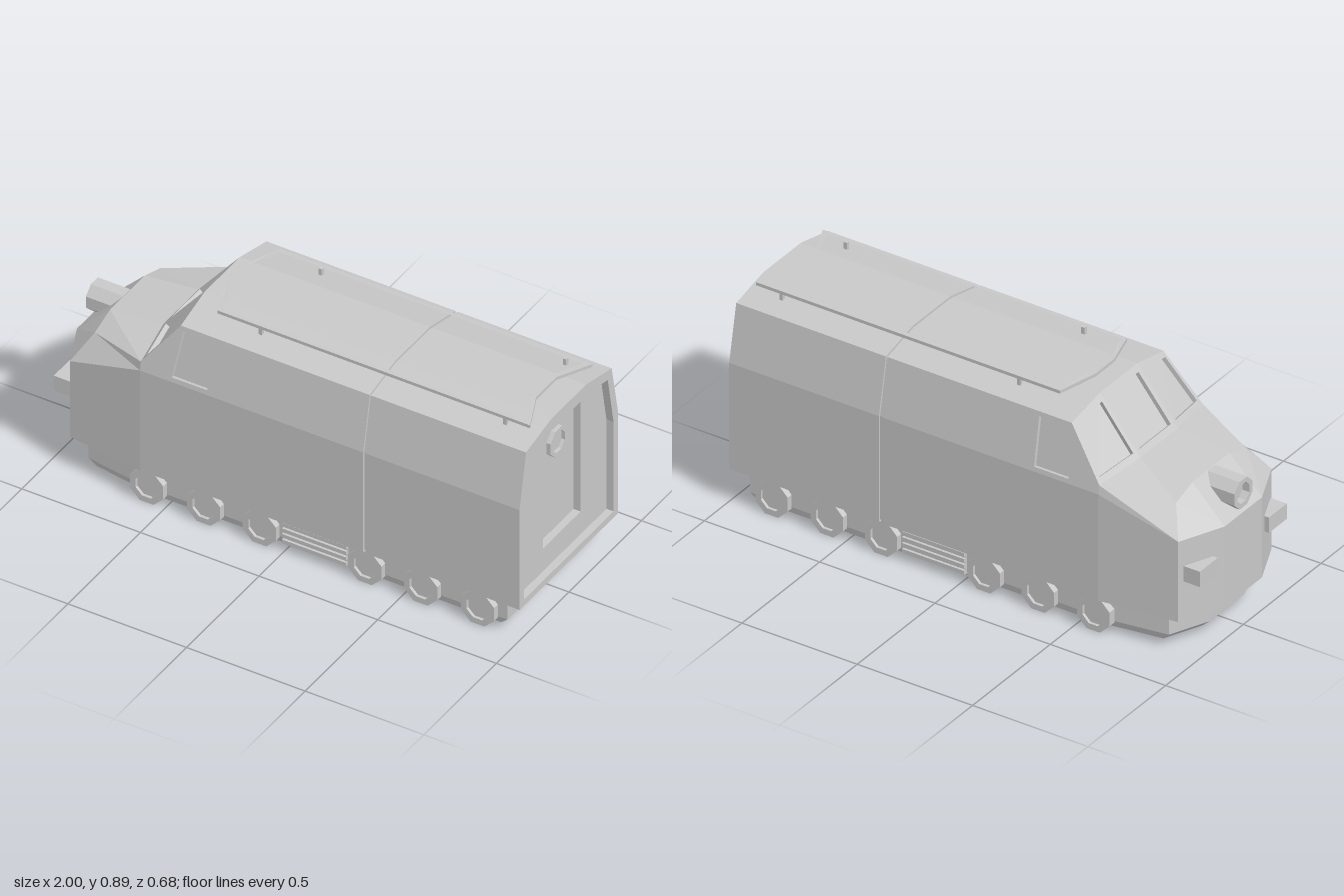
import * as THREE from 'three';

const grey = new THREE.MeshStandardMaterial({ color: 0xc8c8c8 });
grey.name = 'bodyGrey';

// Adds a flat-faceted mesh to a parent
function add(parent, name, geometry, x = 0, y = 0, z = 0) {
  const g = geometry.index ? geometry.toNonIndexed() : geometry;
  g.computeVertexNormals();
  const mesh = new THREE.Mesh(g, grey);
  mesh.name = name;
  mesh.position.set(x, y, z);
  parent.add(mesh);
  return mesh;
}

const V = (x, y, z) => new THREE.Vector3(x, y, z);

// Skins a run of convex rings, caps both ends; windows maps "ring,side" to a recess depth
function loft(rings, windows = {}) {
  const out = [];
  const tri = (a, b, c) => {
    const area = b.clone().sub(a).cross(c.clone().sub(a)).length();
    if (area > 1e-7) for (const p of [a, b, c]) out.push(p.x, p.y, p.z);
  };
  const quad = (a, b, c, d) => { tri(a, b, c); tri(a, c, d); };
  for (let k = 0; k < rings.length - 1; k++) {
    const r = rings[k], f = rings[k + 1], n = r.length;
    for (let i = 0; i < n; i++) {
      const j = (i + 1) % n;
      const o = [r[i], r[j], f[j], f[i]];
      const depth = windows[k + ',' + i];
      if (!depth) { quad(...o); continue; }
      const at = (s, t) => o[0].clone().lerp(o[1], s).lerp(o[3].clone().lerp(o[2], s), t);
      const inner = [at(0.08, 0.1), at(0.92, 0.1), at(0.92, 0.9), at(0.08, 0.9)];
      const normal = o[2].clone().sub(o[0]).cross(o[3].clone().sub(o[1])).normalize();
      const floor = inner.map(p => p.clone().addScaledVector(normal, -depth));
      for (let e = 0; e < 4; e++) {
        const h = (e + 1) % 4;
        quad(o[e], o[h], inner[h], inner[e]);
        quad(inner[e], inner[h], floor[h], floor[e]);
      }
      quad(...floor);
    }
  }
  const first = rings[0], last = rings[rings.length - 1];
  for (let i = 1; i < first.length - 1; i++) {
    tri(first[0], first[i + 1], first[i]);
    tri(last[0], last[i], last[i + 1]);
  }
  const g = new THREE.BufferGeometry();
  g.setAttribute('position', new THREE.Float32BufferAttribute(out, 3));
  return g;
}

// Octagonal drum with a recessed face, along +y
function cup(r, inner, h, depth) {
  const profile = [[r, 0], [r, h], [inner, h], [inner, h - depth], [0, h - depth]];
  return new THREE.LatheGeometry(profile.map(p => new THREE.Vector2(...p)), 8).rotateY(Math.PI / 8);
}

// Outline from half a profile, mirrored across the first coordinate
const mirrored = half => [...half, ...half.slice().reverse().map(([u, v]) => [-u, v])];
const toShape = (pts, Type = THREE.Shape) => new Type(pts.map(p => new THREE.Vector2(...p)));

// Plate with a hole, extruded along +x
function holedPlate(outer, hole, depth) {
  const s = toShape(outer);
  s.holes.push(toShape(hole, THREE.Path));
  return new THREE.ExtrudeGeometry(s, { depth, bevelEnabled: false }).rotateY(Math.PI / 2);
}

export function createModel() {
  const model = new THREE.Group();
  model.name = 'locomotive';

  // Body shell: half sections mirrored into rings from rear to nose
  const half = [[0.34, 0.14], [0.34, 0.59], [0.295, 0.82], [0.12, 0.86]];
  const ring = pts => [...pts, ...pts.slice().reverse().map(p => V(p.x, p.y, -p.z))];
  const straight = (x, k = 1) => ring(half.map(([z, y]) => V(x, 0.5 + (y - 0.5) * k, z * k)));
  const bodyRings = [
    straight(0.94),
    straight(0.351), straight(0.351, 0.975), straight(0.341, 0.975), straight(0.341),
    straight(-0.3),
    ring([V(-0.49, 0.14, 0.34), V(-0.49, 0.59, 0.34), V(-0.455, 0.82, 0.295), V(-0.46, 0.86, 0.12)]),
    ring([V(-0.6, 0.14, 0.34), V(-0.6, 0.59, 0.34), V(-0.6, 0.625, 0.333), V(-0.635, 0.645, 0.12)]),
    ring([V(-0.92, 0.14, 0.3), V(-0.92, 0.48, 0.3), V(-0.86, 0.585, 0.225), V(-0.86, 0.62, 0.12)]),
    ring([V(-1, 0.14, 0.12), V(-1, 0.48, 0.12), V(-1, 0.48, 0.12), V(-1, 0.48, 0.12)]),
  ];
  const windows = { '5,1': 0.015, '5,5': 0.015, '6,2': 0.018, '6,3': 0.018, '6,4': 0.018 };
  add(model, 'bodyShell', loft(bodyRings, windows));

  // Rear rim, recessed wall and doorway
  const inset = [[0.308, 0.168], [0.308, 0.57], [0.268, 0.785], [0.105, 0.82]];
  const door = [[0.13, 0.27], [0.13, 0.765]];
  add(model, 'rearRim', holedPlate(mirrored(half), mirrored(inset), 0.06), 0.94);
  add(model, 'rearWall', holedPlate(mirrored(inset), mirrored(door), 0.03), 0.94);
  add(model, 'doorPorthole', cup(0.062, 0.045, 0.018, 0.014), 0.94, 0.663).rotation.z = -Math.PI / 2;

  // Undercarriage with chamfered underside
  const plan = [[-0.93, 0.11], [-0.86, 0.27], [-0.6, 0.31], [0.93, 0.31]];
  const level = (y, kx, kz) => ring(plan.map(([x, z]) => V(x * kx, y, z * kz)));
  add(model, 'undercarriage', loft([level(0.02, 0.965, 0.97), level(0.05, 1, 1), level(0.15, 1, 1)]));

  // Wheels and side vents
  for (const side of [1, -1]) {
    for (const x of [-0.575, -0.335, -0.1, 0.345, 0.58, 0.82]) {
      const wheel = add(model, 'wheel', cup(0.076, 0.05, 0.045, 0.012), x, 0.073, side * 0.29);
      wheel.rotation.x = side * Math.PI / 2;
    }
    add(model, 'ventBack', new THREE.BoxGeometry(0.27, 0.1, 0.012), 0.125, 0.083, side * 0.311);
    for (let i = 0; i < 4; i++) {
      add(model, 'ventSlat', new THREE.BoxGeometry(0.27, 0.016, 0.014), 0.125, 0.045 + i * 0.025, side * 0.32);
    }
    // Nose buffers
    add(model, 'buffer', new THREE.BoxGeometry(0.08, 0.065, 0.115), -0.96, 0.338, side * 0.222);
  }

  // Headlamp
  add(model, 'headlamp', cup(0.063, 0.042, 0.16, 0.03), -0.84, 0.56).rotation.z = Math.PI / 2;

  // Roof rail: flat loop bent to follow the roof
  const loop = pts => [...pts, ...pts.slice().reverse().map(([x, z]) => [x, -z])];
  const rail = toShape(loop([[-0.4, 0.06], [-0.385, 0.11], [-0.35, 0.215], [0.968, 0.215], [0.905, 0.07]]));
  rail.holes.push(toShape(
    loop([[-0.382, 0.055], [-0.368, 0.105], [-0.337, 0.198], [0.937, 0.198], [0.886, 0.075]]), THREE.Path));
  const railGeometry = new THREE.ExtrudeGeometry(rail, { depth: 0.013, bevelEnabled: false }).rotateX(-Math.PI / 2);
  const p = railGeometry.attributes.position;
  for (let i = 0; i < p.count; i++) {
    const rise = Math.min(1, (0.215 - Math.abs(p.getZ(i))) / 0.14);
    p.setY(i, p.getY(i) + 0.865 + 0.01 * rise);
  }
  add(model, 'roofRail', railGeometry);
  for (const x of [-0.17, 0.86]) {
    for (const z of [-0.206, 0.206]) {
      add(model, 'railPost', new THREE.BoxGeometry(0.014, 0.04, 0.016), x, 0.85, z);
    }
  }
  return model;
}
